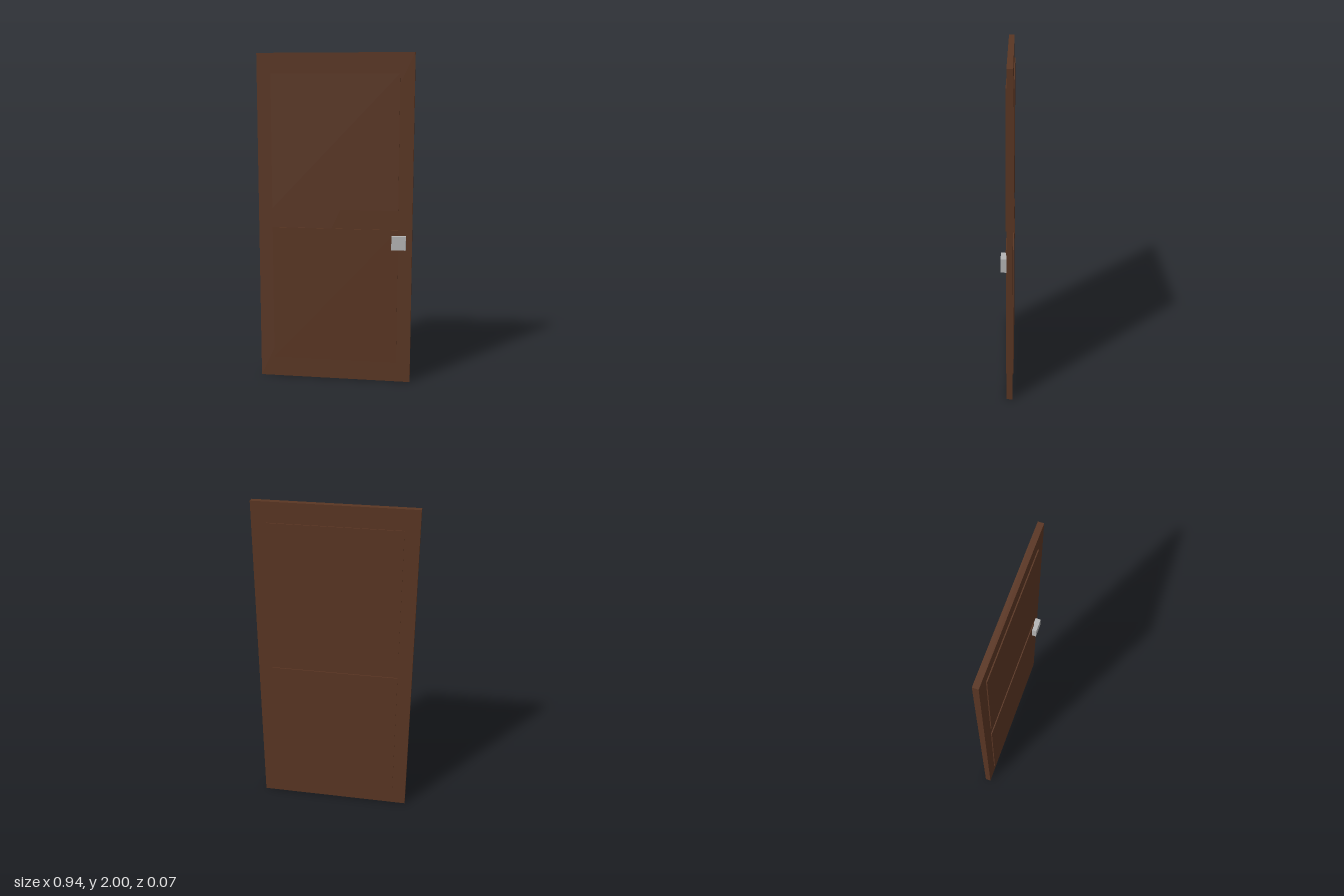
import * as THREE from 'three';

export function createModel() {
  const wood = new THREE.MeshStandardMaterial({ color: 0x5a3623 });
  wood.name = 'dark brown wood';
  const metal = new THREE.MeshStandardMaterial({ color: 0xb4b4b4 });
  metal.name = 'light grey metal';

  const door = new THREE.Group();
  door.name = 'door';

  // Adds a box given its minimum and maximum corners
  function addBox(name, material, [x0, y0, z0], [x1, y1, z1]) {
    const mesh = new THREE.Mesh(new THREE.BoxGeometry(x1 - x0, y1 - y0, z1 - z0), material);
    mesh.position.set((x0 + x1) / 2, (y0 + y1) / 2, (z0 + z1) / 2);
    mesh.name = name;
    door.add(mesh);
  }

  // Main door leaf
  addBox('doorLeaf', wood, [-0.468, 0, -0.031], [0.468, 2, 0.003]);

  // Raised panels, standing proud on both faces
  addBox('lowerPanel', wood, [-0.383, 0.125, -0.037], [0.383, 0.957, 0.009]);
  addBox('upperPanel', wood, [-0.383, 1.074, -0.037], [0.383, 1.88, 0.009]);

  // Square handle on the front
  addBox('handle', metal, [0.346, 0.84, 0.003], [0.432, 0.923, 0.037]);

  return door;
}
